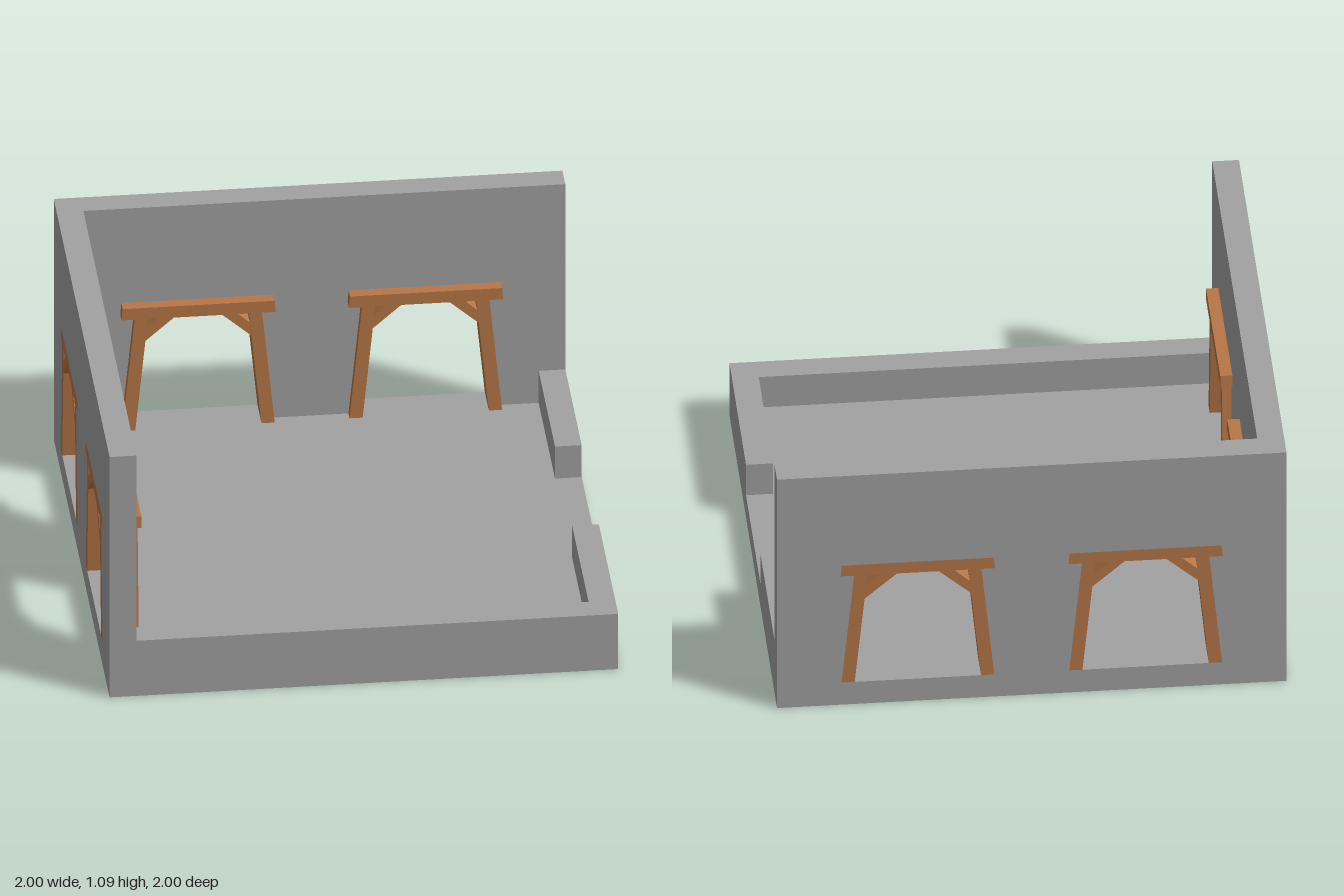
import * as THREE from 'three';

const stone = new THREE.MeshStandardMaterial({ color: 0xa2a2a2, flatShading: true });
const wood = new THREE.MeshStandardMaterial({ color: 0xb87747, flatShading: true });

const FLOOR = 0.105, LOW = 0.25, TOP = 1.09, WALL = 0.105;
const BEAM_Y = 0.612, BEAM_TOP = 0.663;
const BEAM_LOW = 0.303, BEAM_HIGH = 0.299; // half lengths of the slightly tapered beam
const FOOT = 0.3, HEAD = 0.25, POST = 0.052; // outer post offsets and post width
const DOORS = [-0.447, 0.447];

function prism(name, points, depth, material) {
  const shape = new THREE.Shape(points.map(([x, y]) => new THREE.Vector2(x, y)));
  const geometry = new THREE.ExtrudeGeometry(shape, { depth, bevelEnabled: false });
  const mesh = new THREE.Mesh(geometry, material);
  mesh.name = name;
  return mesh;
}

function box(name, x0, x1, y0, y1, z0, z1) {
  const mesh = new THREE.Mesh(new THREE.BoxGeometry(x1 - x0, y1 - y0, z1 - z0), stone);
  mesh.position.set((x0 + x1) / 2, (y0 + y1) / 2, (z0 + z1) / 2);
  mesh.name = name;
  return mesh;
}

// Timber frame lining one opening: beam, two leaning posts, two braces
function doorFrame() {
  const frame = new THREE.Group();
  frame.name = 'doorFrame';
  frame.add(prism('beam', [[-BEAM_LOW, BEAM_Y], [BEAM_LOW, BEAM_Y],
    [BEAM_HIGH, BEAM_TOP], [-BEAM_HIGH, BEAM_TOP]], 0.153, wood));
  for (const s of [-1, 1]) {
    const mirror = (pts) => pts.map(([x, y]) => [s * x, y]);
    frame.add(prism('post', mirror([[FOOT, FLOOR], [HEAD, BEAM_Y],
      [HEAD - POST, BEAM_Y], [FOOT - POST, FLOOR]]), 0.143, wood));
    frame.add(prism('brace', mirror([[0.212, 0.497], [0.206, 0.555],
      [0.145, BEAM_Y], [0.082, BEAM_Y]]), 0.133, wood));
  }
  return frame;
}

// High wall whose outline is notched around each frame; outer face at local z = 0
function highWall(name, x0, x1) {
  const wall = new THREE.Group();
  wall.name = name;
  const outline = [[x0, FLOOR]];
  for (const c of DOORS) {
    outline.push([c - FOOT, FLOOR], [c - HEAD, BEAM_Y], [c - BEAM_LOW, BEAM_Y],
      [c - BEAM_HIGH, BEAM_TOP], [c + BEAM_HIGH, BEAM_TOP], [c + BEAM_LOW, BEAM_Y],
      [c + HEAD, BEAM_Y], [c + FOOT, FLOOR]);
    const frame = doorFrame();
    frame.position.x = c;
    wall.add(frame);
  }
  outline.push([x1, FLOOR], [x1, TOP], [x0, TOP]);
  wall.add(prism('wallPanel', outline, WALL, stone));
  return wall;
}

export function createModel() {
  const model = new THREE.Group();
  model.name = 'room';
  model.add(box('floor', -1, 1, 0, FLOOR, -1, 1));

  const back = highWall('backWall', -1, 1);
  back.position.z = -1;
  const side = highWall('sideWall', -1, 1 - WALL);
  side.rotation.y = Math.PI / 2;
  side.position.x = -1;
  model.add(back, side);

  // Low L-shaped parapet, drawn in plan with y standing for -z
  const inner = 1 - WALL;
  const parapet = prism('lowWall', [[-inner, -1], [1, -1], [1, -0.305],
    [inner, -0.305], [inner, -inner], [-inner, -inner]], LOW - FLOOR, stone);
  parapet.rotation.x = -Math.PI / 2;
  parapet.position.y = FLOOR;
  model.add(parapet);

  // Short low wall beyond the entrance gap
  model.add(box('lowWallStub', inner, 1, FLOOR, LOW, -inner, -0.308));
  return model;
}
